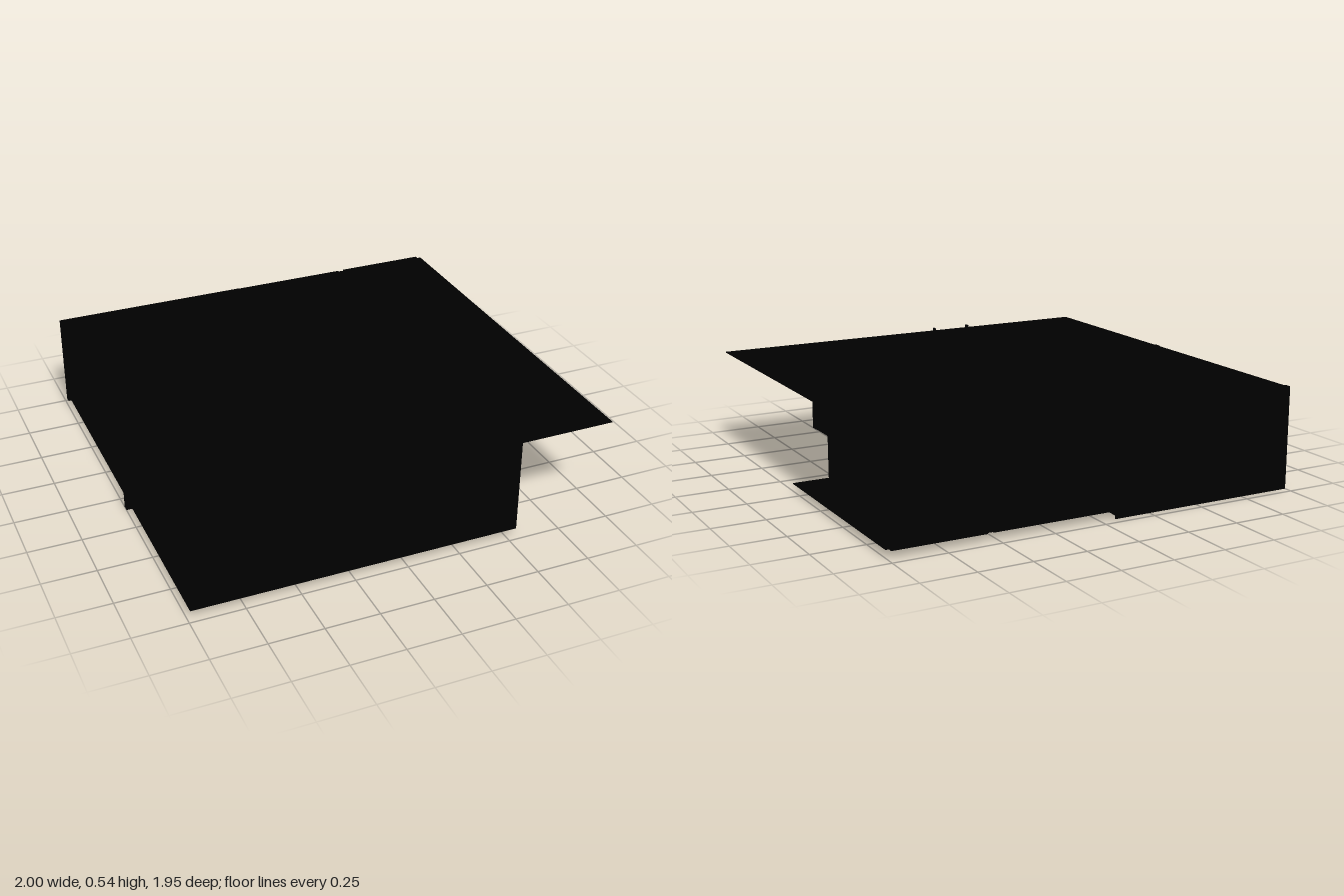
import * as THREE from 'three';

export function createModel() {
  const model = new THREE.Group();
  model.name = 'flatRoofHouse';
  const black = new THREE.MeshStandardMaterial({ color: 0x000000 });
  black.name = 'black';

  const add = (name, geometry, x, y, z) => {
    const mesh = new THREE.Mesh(geometry, black);
    mesh.name = name;
    mesh.position.set(x, y, z);
    model.add(mesh);
    return mesh;
  };
  // Box given by its limits on each axis
  const box = (name, [x0, x1], [y0, y1], [z0, z1]) =>
    add(name, new THREE.BoxGeometry(x1 - x0, y1 - y0, z1 - z0), (x0 + x1) / 2, (y0 + y1) / 2, (z0 + z1) / 2);
  // Single face looking to +z
  const face = (name, [x0, x1], [y0, y1], z) =>
    add(name, new THREE.PlaneGeometry(x1 - x0, y1 - y0), (x0 + x1) / 2, (y0 + y1) / 2, z);

  const floorY = 0.035, roofY = 0.485, left = -0.985, right = 0.985;
  const top = roofY - 0.002;
  const wallY = [floorY, top];

  // Thin roof over everything, L-shaped floor
  box('roof', [left, 1], [roofY - 0.004, roofY], [-0.937, 0.97]);
  box('rearFloor', [left, 1], [floorY, floorY + 0.004], [-0.937, 0.08]);
  box('frontFloor', [left, 0.54], [floorY, floorY + 0.004], [0.08, 0.97]);

  // Back wall in panels, the joints showing as narrow steps
  const backZ = [-0.96, -0.93];
  box('backWallRoom', [-1, -0.05], wallY, backZ);
  box('backWallMiddle', [-0.05, 0.52], wallY, [-0.957, -0.93]);
  box('backWallJoint', [0.52, 0.55], wallY, [-0.948, -0.93]);
  box('backWallEnd', [0.55, right], wallY, backZ);
  face('backWallFoot', [-1, -0.07], [0, floorY], -0.96).rotation.y = Math.PI;

  // Side walls
  box('sideWallRight', [left, left + 0.03], wallY, [-0.96, 0.1]);
  box('sideWallLeft', [right - 0.03, right], wallY, [-0.95, -0.32]);

  // Walls of the rear room, with a doorway in front
  const roomZ = [0.07, 0.1];
  box('roomWallOuter', [-1, -0.65], [0, top], roomZ);
  box('roomWallInner', [-0.46, -0.1], [0, top], roomZ);
  box('roomLintel', [-0.65, -0.46], [0.36, top], roomZ);
  box('roomPartition', [-0.13, -0.1], [0, top], [-0.955, 0.07]);

  // Walls around the two covered porches
  box('porchWallLeft', [0.52, 0.545], wallY, [-0.32, 0.95]);
  box('porchBackWall', [0.52, right], wallY, [-0.35, -0.32]);
  box('porchWallRight', [-0.725, -0.70], wallY, [0.1, 0.93]);

  // Front wall with a recessed door
  const frontZ = [0.93, 0.957];
  box('frontWallRight', [-0.725, -0.35], wallY, frontZ);
  box('frontWallLeft', [-0.16, 0.51], wallY, frontZ);
  box('doorLintel', [-0.35, -0.16], [0.36, top], frontZ);
  box('frontDoor', [-0.35, -0.16], [floorY, 0.36], [0.93, 0.938]);
  box('frontCornerPost', [0.51, 0.548], wallY, [0.93, 0.97]);
  for (const x of [-0.355, -0.16]) {
    box('doorJamb', [x, x + 0.008], [floorY, 0.5], [0.945, 0.968]);
  }

  // Upstand along the front wall and fine rods above it
  face('frontUpstand', [-0.725, 0.548], [top, 0.5], 0.958);
  for (const x of [-0.26, 0.21]) {
    face('roofRod', [x - 0.0015, x + 0.0015], [0.49, 0.535], 0.958);
  }

  // Back window frame with a smaller projecting panel
  box('backWindowFrame', [-0.83, -0.52], [0.13, 0.37], [-0.967, -0.96]);
  box('backWindowPanel', [-0.73, -0.62], [0.21, 0.3], [-0.975, -0.967]);

  return model;
}
